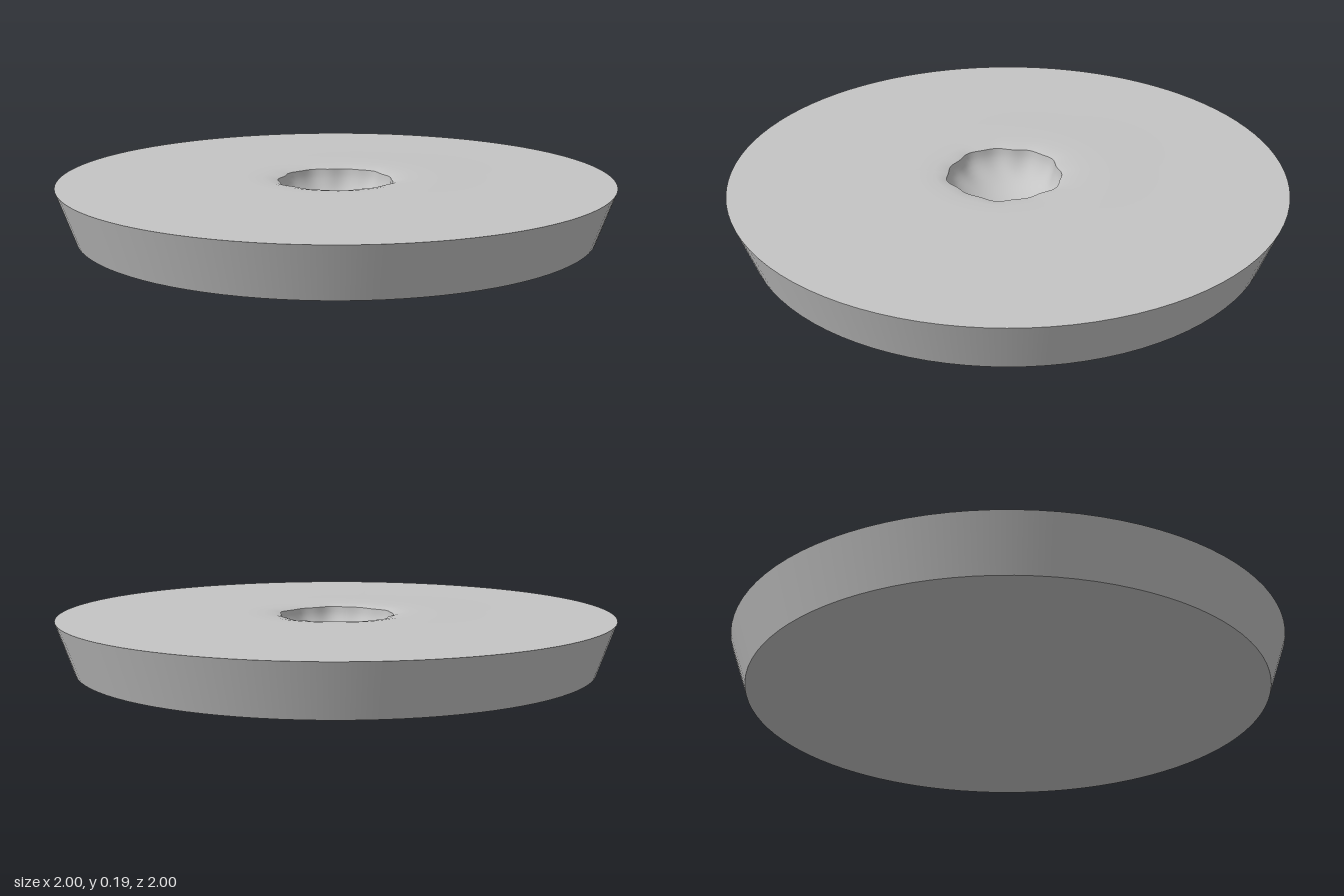
import * as THREE from 'three';

const gray = new THREE.MeshStandardMaterial({ color: 0xc4c4c4 });
gray.name = 'light gray';

function lathe(name, points, segments) {
  const mesh = new THREE.Mesh(
    new THREE.LatheGeometry(points.map(([r, y]) => new THREE.Vector2(r, y)), segments), gray);
  mesh.name = name;
  return mesh;
}

export function createModel() {
  const group = new THREE.Group();
  group.name = 'crateredDisc';

  // Flat base and flared side wall
  group.add(lathe('base', [[0, 0], [0.935, 0]], 96));
  group.add(lathe('sideWall', [[0.935, 0], [1, 0.185]], 96));

  // Top surface: flat edge, very gentle swell, rounded lip
  const lip = 0.205, lipY = 0.178;
  const top = lathe('topSurface', [
    [1, 0.185], [0.55, 0.186], [0.42, 0.189], [0.32, 0.19], [0.26, 0.188], [0.225, 0.184], [lip, lipY],
  ], 96);

  // Bowl-shaped crater sunk into the centre
  const bowl = [];
  for (let i = 0; i <= 12; i++) {
    const a = (i / 12) * Math.PI / 2;
    bowl.push([lip * Math.cos(a), lipY - 0.135 * Math.sin(a)]);
  }
  const crater = lathe('crater', bowl, 96);

  // Slightly uneven rim, fading out across the swell and down the bowl
  for (const mesh of [top, crater]) {
    const pos = mesh.geometry.attributes.position;
    for (let i = 0; i < pos.count; i++) {
      const x = pos.getX(i), z = pos.getZ(i);
      const r = Math.hypot(x, z), a = Math.atan2(z, x);
      const fade = Math.exp(-(((r - lip) / 0.04) ** 2));
      const k = 1 + fade * (0.025 * Math.sin(5 * a + 1) + 0.02 * Math.sin(11 * a));
      pos.setX(i, x * k);
      pos.setZ(i, z * k + 0.012 * fade);
    }
    mesh.geometry.computeVertexNormals();
    group.add(mesh);
  }
  return group;
}
